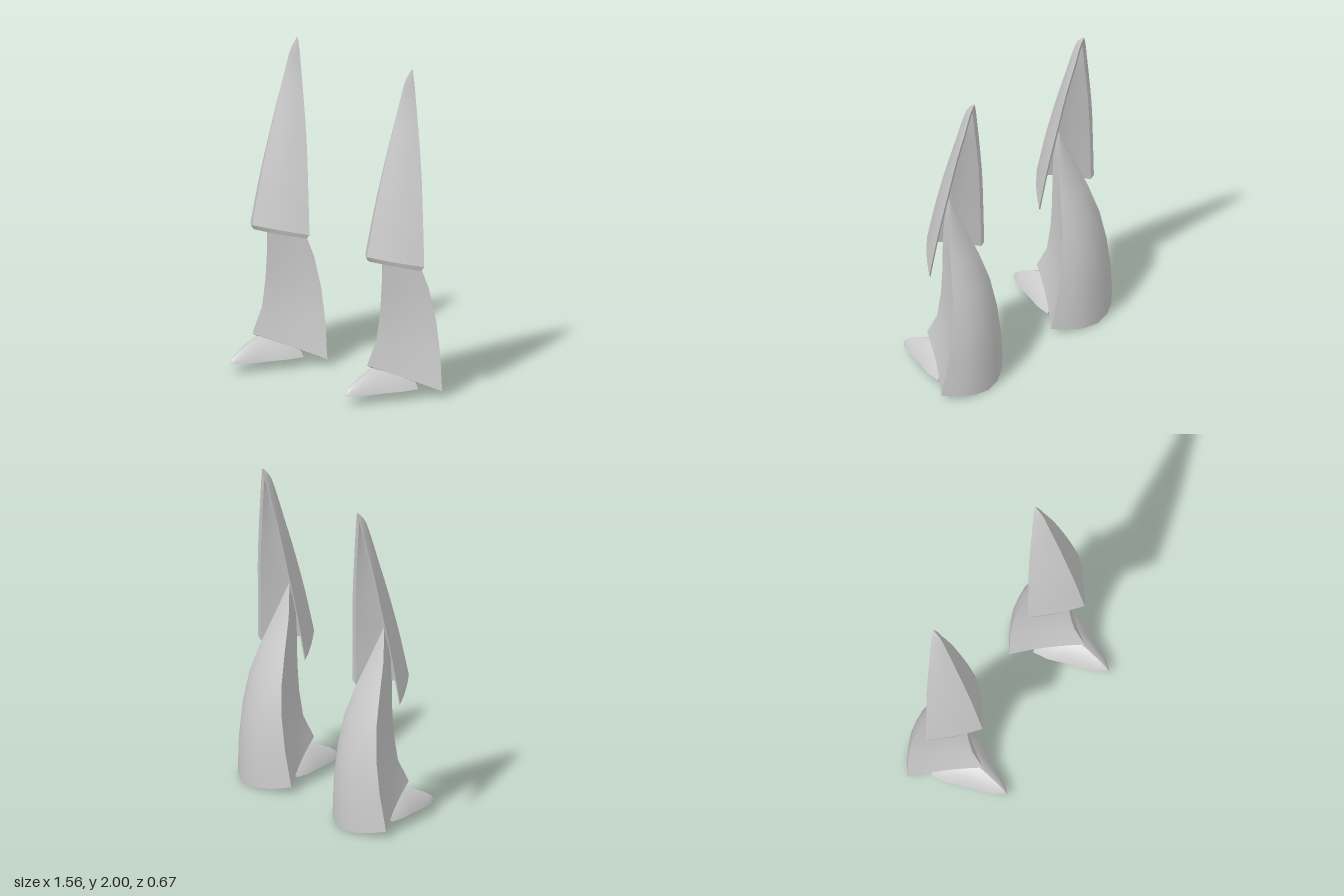
import * as THREE from 'three';
import { mergeGeometries } from 'three/addons/utils/BufferGeometryUtils.js';

const V = (x, y, z) => new THREE.Vector3(x, y, z);
const material = new THREE.MeshStandardMaterial({ color: 0xcccccc, side: THREE.DoubleSide });

// Skin a list of equally long point rows; separate skins keep sharp edges between them
function loft(rows) {
  const n = rows[0].length, index = [];
  for (let r = 0; r < rows.length - 1; r++) {
    for (let c = 0; c < n - 1; c++) {
      const a = r * n + c, b = a + n;
      index.push(a, a + 1, b, a + 1, b + 1, b);
    }
  }
  const g = new THREE.BufferGeometry().setFromPoints(rows.flat());
  g.setIndex(index);
  g.computeVertexNormals();
  return g;
}

const part = (name, skins) => {
  const mesh = new THREE.Mesh(mergeGeometries(skins), material);
  mesh.name = name;
  return mesh;
};

// Smooth guide curve through a few [x, y, z] points
const guide = (points, rows) => new THREE.CatmullRomCurve3(points.map((p) => V(...p))).getPoints(rows);
const mirror = (row) => row.map((p) => V(-p.x, p.y, p.z)).reverse();
const flip = (rows) => rows.map((row) => [...row].reverse());

// Half of a V-shaped section, from the middle ridge to the side edge
function halfRow(ridge, edge, bulge, cols = 6) {
  const out = V(ridge.z - edge.z, 0, edge.x - ridge.x).normalize();
  return Array.from({ length: cols + 1 }, (_, i) => ridge.clone().lerp(edge, i / cols)
    .addScaledVector(out, bulge * Math.sin(Math.PI * i / cols)));
}
const fullRow = (half) => [...mirror(half), ...half.slice(1)];

// Thigh: ridged shell, open at the back, with a visible thickness
function thighPlate() {
  const ridge = guide([[0, 0.898, 0.15], [0, 1.18, 0.08], [0, 1.45, 0], [0, 1.66, -0.07],
    [0, 1.84, -0.13], [0, 1.95, -0.175], [0, 2, -0.222]], 14);
  const edge = guide([[0.25, 0.84, -0.088], [0.205, 1.13, -0.12], [0.155, 1.4, -0.155],
    [0.105, 1.63, -0.18], [0.055, 1.82, -0.205], [0.022, 1.95, -0.22], [0, 2, -0.23]], 14);
  const halves = ridge.map((r, i) => halfRow(r, edge[i], 0.01 * (1 - i / 14)));
  const inner = ridge.map((r, i) => {
    const e = edge[i];
    return fullRow(halfRow(V(0, r.y - 0.03, r.z - 0.018 * (1 - i / 14)),
      V(Math.max(0, e.x - 0.018), e.y - 0.025, e.z + 0.008), 0.012 * (1 - i / 14)));
  });
  const outer = halves.map(fullRow), last = outer[0].length - 1;
  return part('thighPlate', [
    loft(halves), loft(halves.map(mirror)), loft(flip(inner)),
    loft([inner[0], outer[0]]),
    loft(outer.map((row, i) => [row[last], inner[i][last]])),
    loft(outer.map((row, i) => [inner[i][0], row[0]])),
    loft([outer[14], inner[14]]),
  ]);
}

// Shin: ridged front and rounded back, hollow from below, running up to a point
function shinGuard() {
  const ridge = [[0, 0.22, 0.15], [0, 0.37, 0.07], [0, 0.54, 0.04], [0, 0.72, 0.027],
    [0, 0.88, 0.025], [0, 1.06, 0.015], [0, 1.24, -0.02]].map((p) => V(...p));
  const edge = [[0.278, 0.045, -0.21], [0.24, 0.27, -0.23], [0.205, 0.47, -0.23], [0.168, 0.67, -0.205],
    [0.125, 0.85, -0.152], [0.07, 1.04, -0.085], [0, 1.24, -0.03]].map((p) => V(...p));
  const spine = [[0, 0.005, -0.337], [0, 0.25, -0.337], [0, 0.47, -0.305], [0, 0.68, -0.25],
    [0, 0.86, -0.172], [0, 1.05, -0.09], [0, 1.24, -0.03]].map((p) => V(...p));

  const front = ridge.map((r, i) => halfRow(r, edge[i], -0.012 * (1 - i / 6)));
  const back = edge.map((e, i) => [1, 0.72, 0.4, 0, -0.4, -0.72, -1].map((u) => {
    const p = spine[i].clone().lerp(e, u * u);
    p.x = e.x * u;
    return p;
  }));
  // Inner wall: the same sections drawn in towards the middle
  const shrink = (rows) => rows.map((row, i) => row.map((p) => {
    const mid = (ridge[i].z + spine[i].z) / 2;
    return V(p.x * 0.88, p.y + (mid - p.z) * 0.06, mid + (p.z - mid) * 0.88);
  }));
  const frontL = front, frontR = front.map(mirror);
  const skins = [];
  for (const rows of [frontL, frontR, back]) {
    const inside = shrink(rows);
    skins.push(loft(rows), loft(flip(inside)), loft([inside[0], rows[0]]));
  }
  return part('shinGuard', skins);
}

// Foot: flat sole under a ridged, arched top that tapers to the toe
function footGuard() {
  // [z, half width, ridge height] from heel to toe
  const stations = [[-0.1, 0.185, 0.21], [0, 0.165, 0.21], [0.09, 0.125, 0.195], [0.18, 0.09, 0.167],
    [0.27, 0.052, 0.125], [0.315, 0.022, 0.095], [0.337, 0, 0.066]];
  const arch = [[0, 1], [0.35, 0.86], [0.7, 0.5], [0.9, 0.2], [1, 0]];
  const base = 0.062;
  const half = stations.map(([z, w, h]) => arch.map(([x, y]) => V(w * x, base + (h - base) * y, z)));
  const sole = stations.map(([z, w]) => [V(-w, base, z), V(w, base, z)]);
  const heel = fullRow(half[0]);
  return part('footGuard', [
    loft(flip(half)), loft(flip(half.map(mirror))), loft(sole),
    loft([heel, heel.map((p) => V(p.x, base, p.z))]),
  ]);
}

export function createModel() {
  const model = new THREE.Group();
  model.name = 'legArmor';
  for (const [name, x] of [['leftLeg', 0.5], ['rightLeg', -0.5]]) {
    const leg = new THREE.Group();
    leg.name = name;
    leg.position.x = x;
    leg.add(thighPlate(), shinGuard(), footGuard());
    model.add(leg);
  }
  return model;
}
